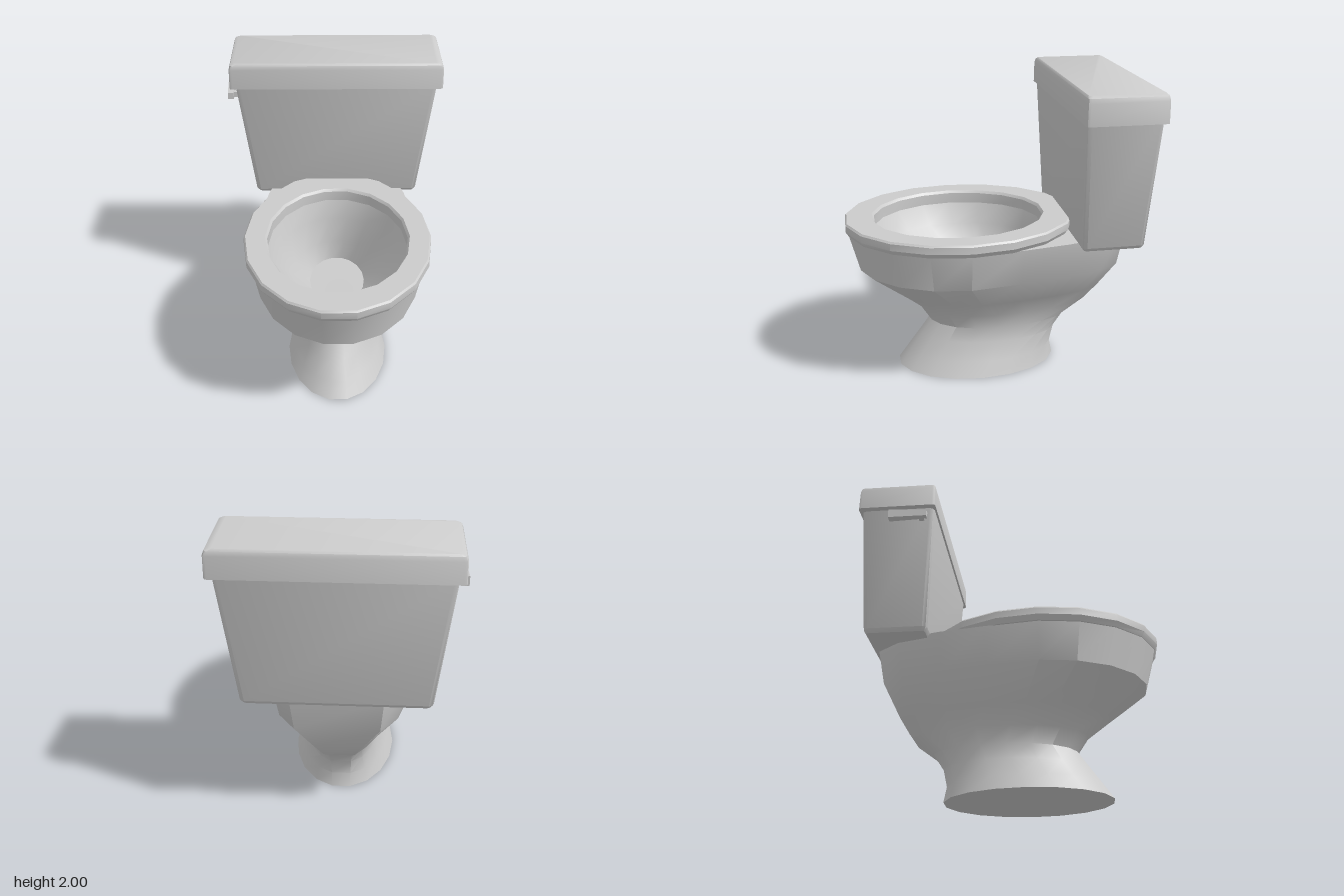
import * as THREE from 'three';
import { toCreasedNormals } from 'three/addons/utils/BufferGeometryUtils.js';

const SIDES = 18;
const CX = 0.013; // the body sits slightly off centre because of the lever
const COS10 = Math.cos(Math.PI / 18);

// Skins a list of rings (arrays of [x, y, z], counter-clockwise from above).
function loft(rings, caps = true, crease = 0.6) {
  const n = rings[0].length, pos = rings.flat(2), index = [];
  for (let r = 0; r < rings.length - 1; r++) {
    for (let i = 0; i < n; i++) {
      const j = (i + 1) % n, a = r * n + i, b = r * n + j;
      index.push(a, b, b + n, a, b + n, a + n);
    }
  }
  if (caps) {
    const top = (rings.length - 1) * n;
    for (let i = 1; i < n - 1; i++) {
      index.push(0, i + 1, i, top, top + i, top + i + 1);
    }
  }
  const geo = new THREE.BufferGeometry();
  geo.setAttribute('position', new THREE.Float32BufferAttribute(pos, 3));
  geo.setIndex(index);
  return toCreasedNormals(geo, crease);
}

// Ellipse with half-width a and half-length b, centred at z = c.
function oval(y, a, b, c) {
  return Array.from({ length: SIDES }, (_, i) => {
    const t = (i + 0.5) * 2 * Math.PI / SIDES;
    return [a * Math.sin(t), y, c + b * Math.cos(t) / COS10];
  });
}

// Oval front; the back blends from oval (k = 0) to a tapered, squared tail (k = 1).
const TAIL = [[0.92, 0.32], [0.83, 0.6], [0.69, 0.86], [0.49, 1]];
function bodyRing([y, a, front, c, back, k]) {
  return Array.from({ length: SIDES }, (_, i) => {
    const t = (i + 0.5) * 2 * Math.PI / SIDES;
    let x = Math.sin(t), z = Math.cos(t) / COS10;
    if (i >= 5 && i <= 12) {
      const tail = TAIL[i <= 8 ? i - 5 : 12 - i];
      x = THREE.MathUtils.lerp(x, Math.sign(x) * tail[0], k);
      z = THREE.MathUtils.lerp(z, -tail[1], k);
    }
    return [a * x, y, c + z * (z > 0 ? front - c : c - back)];
  });
}

// Rectangle with rounded corners; w and d are half sizes, c the centre in z.
function roundedRect(y, w, d, c, r) {
  const ring = [];
  for (let q = 0; q < 4; q++) {
    const sx = q < 2 ? 1 : -1, sz = q === 0 || q === 3 ? 1 : -1;
    for (let s = 0; s < 3; s++) {
      const t = (q + s / 2) * Math.PI / 2;
      ring.push([sx * (w - r) + r * Math.sin(t), y, c + sz * (d - r) + r * Math.cos(t)]);
    }
  }
  return ring;
}

export function createModel() {
  const group = new THREE.Group();
  const material = new THREE.MeshStandardMaterial({ color: 0xcccccc });
  const add = (name, geometry, x = CX, y = 0, z = 0) => {
    const mesh = new THREE.Mesh(geometry, material);
    mesh.name = name;
    mesh.position.set(x, y, z);
    group.add(mesh);
    return mesh;
  };

  // Pedestal and bowl: up the outside, over the rim, down the inside
  const outside = [ // y, half-width, front z, centre z, back z, tail blend
    [0, 0.353, 0.635, 0.1, -0.45, 0],
    [0.1, 0.31, 0.565, 0.05, -0.43, 0.1],
    [0.22, 0.26, 0.48, 0, -0.455, 0.3],
    [0.32, 0.25, 0.41, -0.03, -0.52, 0.4],
    [0.43, 0.28, 0.48, 0, -0.66, 0.6],
    [0.55, 0.36, 0.63, 0.1, -0.74, 0.8],
    [0.75, 0.543, 0.88, 0.2, -0.835, 1],
    [1.0, 0.587, 0.945, 0.2, -0.88, 1],
  ].map(bodyRing);
  const inside = [
    oval(1.0, 0.485, 0.58, 0.21),
    oval(0.85, 0.43, 0.515, 0.18),
    oval(0.65, 0.31, 0.39, 0.06),
    oval(0.5, 0.195, 0.26, -0.06),
  ];
  add('bowl', loft([...outside, ...inside]));

  // Seat ring with a slightly bevelled outer edge
  const seat = [
    oval(0.998, 0.6, 0.745, 0.2),
    oval(1.03, 0.622, 0.765, 0.2),
    oval(1.075, 0.62, 0.765, 0.2),
    oval(1.087, 0.61, 0.755, 0.2),
    oval(1.087, 0.478, 0.575, 0.21),
    oval(1.07, 0.465, 0.562, 0.21),
    oval(0.998, 0.465, 0.562, 0.21),
  ];
  add('seat', loft([...seat, seat[0]], false));

  // Tapered tank and its lid
  add('tank', loft([
    roundedRect(0.975, 0.56, 0.19, -0.71, 0.02),
    roundedRect(1.0, 0.58, 0.206, -0.71, 0.03),
    roundedRect(1.84, 0.682, 0.243, -0.713, 0.03),
  ]));
  add('tankLid', loft([
    roundedRect(1.823, 0.72, 0.257, -0.715, 0.02),
    roundedRect(1.96, 0.718, 0.255, -0.715, 0.02),
    roundedRect(1.988, 0.708, 0.249, -0.715, 0.02),
    roundedRect(2.0, 0.685, 0.238, -0.715, 0.02),
  ]));

  // Flush lever: a bar tapering towards the front, on a short shaft
  const bar = new THREE.BoxGeometry(0.052, 0.06, 0.25);
  const p = bar.attributes.position;
  for (let i = 0; i < p.count; i++) {
    if (p.getZ(i) > 0) p.setXY(i, p.getX(i) * 0.75, p.getY(i) * 0.75);
  }
  bar.computeVertexNormals();
  add('flushLever', bar, -0.709, 1.75, -0.635).rotation.y = 0.02;
  add('leverShaft', new THREE.BoxGeometry(0.09, 0.035, 0.035), -0.665, 1.75, -0.55);

  return group;
}
